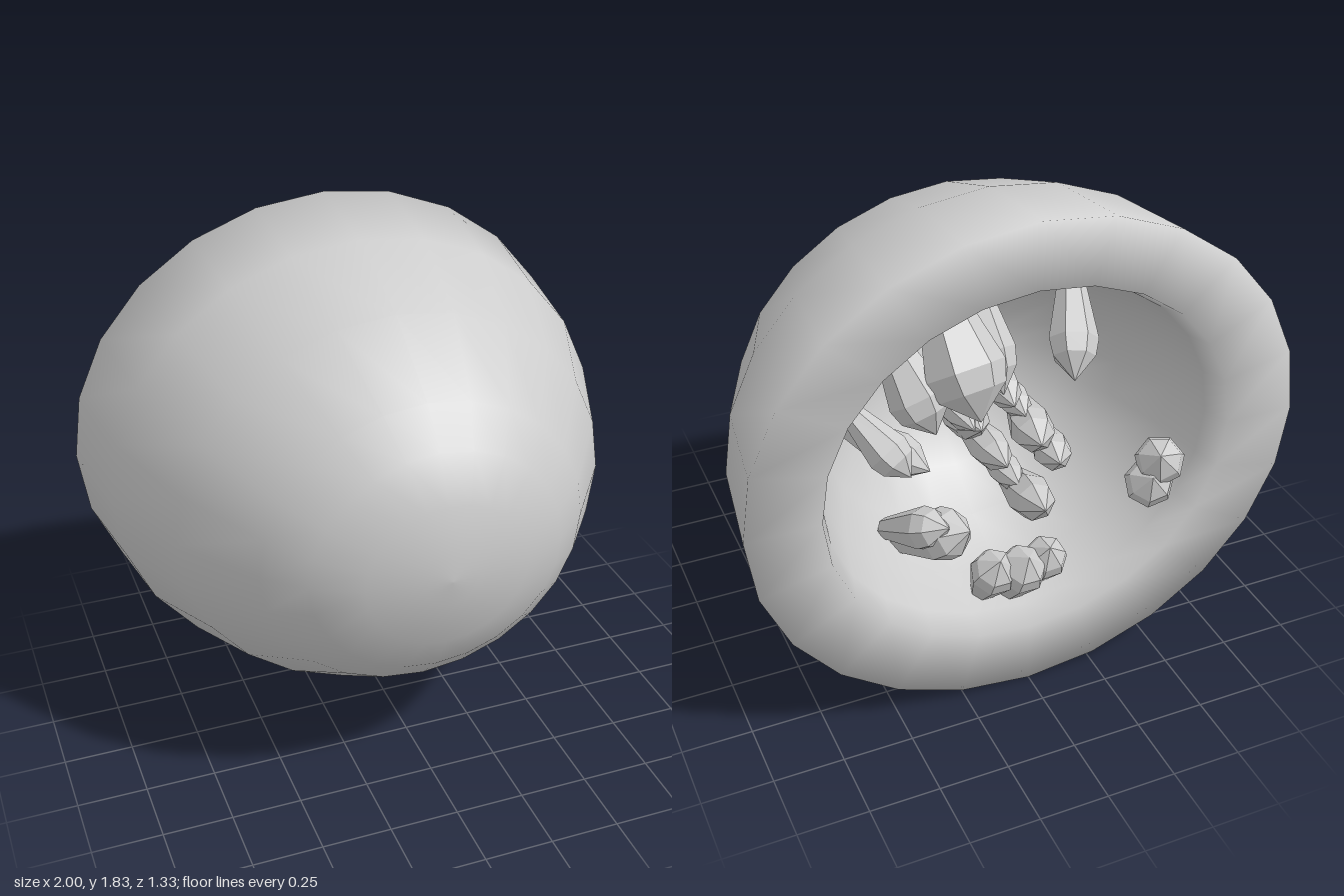
import * as THREE from 'three';

const RIM_Z = -0.63, MID_Y = 0.915;

// Crystal standing on its base and pointing at its tip; coordinates are
// x, y from the axis and depth inside the rim
function crystal(material, base, tip, radius, sides = 7) {
  const a = new THREE.Vector3(base[0], base[1] + MID_Y, base[2] + RIM_Z);
  const b = new THREE.Vector3(tip[0], tip[1] + MID_Y, tip[2] + RIM_Z);
  const len = a.distanceTo(b);
  const profile = [[0, 0], [0.5, 0], [1, 0.62], [0.85, 0.78], [0, 1]]
    .map(([r, h]) => new THREE.Vector2(r * radius, h * len));
  const mesh = new THREE.Mesh(new THREE.LatheGeometry(profile, sides), material);
  mesh.name = 'crystal';
  mesh.position.copy(a);
  mesh.quaternion.setFromUnitVectors(new THREE.Vector3(0, 1, 0), b.sub(a).normalize());
  return mesh;
}

export function createModel() {
  const stone = new THREE.MeshStandardMaterial({ color: 0xcccccc });
  stone.name = 'stone grey';
  const facet = new THREE.MeshStandardMaterial({ color: 0xcccccc, flatShading: true });
  facet.name = 'crystal grey';
  const group = new THREE.Group();
  group.name = 'geode';

  // Hollow shell: cavity floor, inner wall, flat rim, outer wall, front apex
  const profile = [
    [0, 0.23], [0.12, 0.22], [0.28, 0.17], [0.45, 0.05], [0.58, -0.12], [0.67, -0.35], [0.71, -0.53], [0.74, RIM_Z],
    [1, RIM_Z], [0.945, -0.24], [0.8, 0.12], [0.59, 0.41], [0.455, 0.53], [0.29, 0.615], [0.1, 0.65], [0, 0.657],
  ].map(([r, z]) => new THREE.Vector2(r, z));
  const shellGeometry = new THREE.LatheGeometry(profile, 24);
  shellGeometry.rotateX(Math.PI / 2).scale(1, MID_Y, 1).translate(0, MID_Y, 0);
  const shell = new THREE.Mesh(shellGeometry, stone);
  shell.name = 'shell';
  group.add(shell);

  const crystals = new THREE.Group();
  crystals.name = 'crystals';
  group.add(crystals);

  // Large crystals around the cavity wall: base, tip, radius
  [
    // upper group
    [[0.25, 0.62, 0.25], [0.2, 0.25, -0.01], 0.14],
    [[0.43, 0.5, 0.22], [0.33, 0.2, 0.05], 0.1],
    [[0.1, 0.6, 0.3], [0.08, 0.27, 0.08], 0.08],
    [[-0.25, 0.55, 0.28], [-0.14, 0.31, 0.01], 0.085],
    // left group
    [[0.57, 0.26, 0.2], [0.43, 0.08, 0.02], 0.075],
    [[0.55, 0.13, 0.32], [0.34, 0.04, 0.08], 0.075],
    // lower group
    [[0.1, -0.63, 0.2], [0.1, -0.38, 0.04], 0.085],
    [[0, -0.64, 0.18], [0, -0.38, 0.02], 0.09],
    [[-0.12, -0.62, 0.2], [-0.09, -0.38, 0.04], 0.08],
    [[0.34, -0.48, 0.42], [0.17, -0.3, 0.14], 0.1],
    [[0.38, -0.42, 0.42], [0.24, -0.28, 0.16], 0.08],
    // right group
    [[-0.6, -0.28, 0.2], [-0.48, -0.07, -0.005], 0.09],
    [[-0.54, -0.36, 0.2], [-0.46, -0.16, 0], 0.09],
  ].forEach(([base, tip, r]) => crystals.add(crystal(facet, base, tip, r)));

  // Diagonal band of smaller crystals rising from the cavity floor
  for (let i = 0; i < 18; i++) {
    const t = Math.floor(i / 2) / 8 - 0.5;
    const side = i % 2 ? 0.09 : -0.06;
    const x = -0.03 - 0.5 * t + side, y = 0.02 - 0.8 * t - side;
    const depth = 0.86 - 0.9 * (x * x + y * y);
    const len = 0.36 + 0.04 * ((i * 7) % 4);
    const lean = 0.85 - 0.1 * (i % 3);
    crystals.add(crystal(facet, [x, y, depth], [x * lean, y * lean, depth - len], 0.06 + 0.012 * (i % 3)));
  }
  return group;
}
